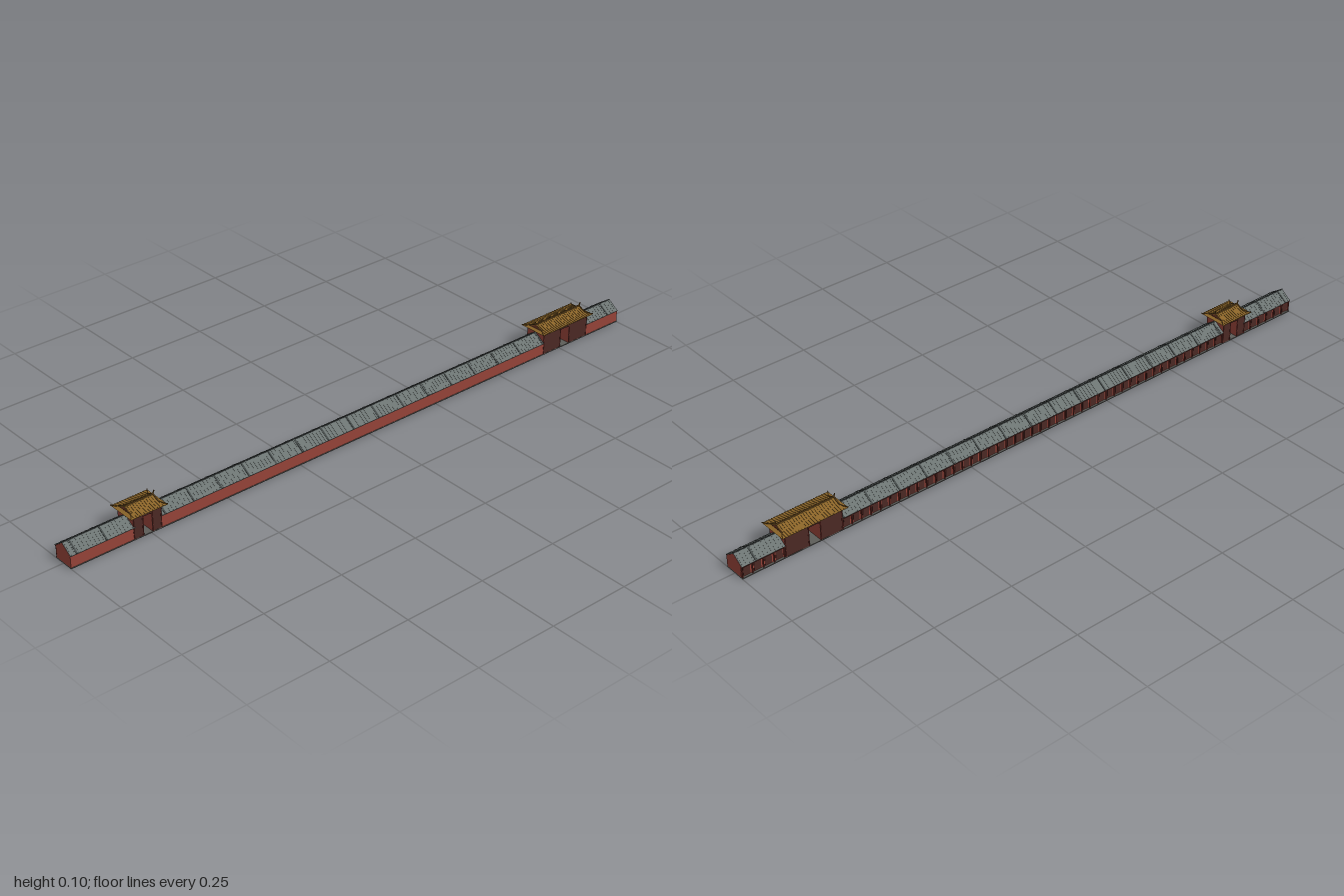
import * as THREE from 'three';
import { mergeGeometries } from 'three/addons/utils/BufferGeometryUtils.js';

const mat = (color, side = THREE.FrontSide) => new THREE.MeshStandardMaterial({ color, side, flatShading: true });
const RED = mat(0x934238), DARK = mat(0x4a2823), COLUMN = mat(0x642a25), STONE = mat(0x5d5d59);
const TILE = mat(0x6c7472), SEAM = mat(0x454b4a), TEAL = mat(0x3f6a66), GOLD = mat(0x8a6428, THREE.DoubleSide);
const GOLD_DARK = mat(0x6b4b1f), BROWN = mat(0x6b3426, THREE.DoubleSide);

// box geometry given by its limits
function box(x0, x1, y0, y1, z0, z1) {
  return new THREE.BoxGeometry(x1 - x0, y1 - y0, z1 - z0).translate((x0 + x1) / 2, (y0 + y1) / 2, (z0 + z1) / 2);
}

// bar between two points of a roof slope (in the z-y plane), w wide along x
function slopeBar(x, w, h, z0, y0, z1, y1) {
  const g = new THREE.BoxGeometry(w, h, Math.hypot(z1 - z0, y1 - y0));
  g.rotateX(-Math.atan2(y1 - y0, z1 - z0));
  return g.translate(x, (y0 + y1) / 2, (z0 + z1) / 2);
}

function add(group, name, geometries, material) {
  const mesh = new THREE.Mesh(mergeGeometries(geometries), material);
  mesh.name = name;
  group.add(mesh);
}

// one stretch of covered gallery: closed front, columned back
function gallery(x0, x1) {
  const g = new THREE.Group();
  g.name = 'gallery';
  const len = x1 - x0, mid = (x0 + x1) / 2;
  const section = new THREE.Shape([[-0.034, 0.003], [0.029, 0.003], [0.029, 0.038], [0.034, 0.038], [0, 0.062], [-0.034, 0.038]]
    .map(p => new THREE.Vector2(...p)));
  const body = new THREE.ExtrudeGeometry(section, { depth: len, bevelEnabled: false }).rotateY(Math.PI / 2).translate(x0, 0, 0);
  add(g, 'galleryWall', [body], RED);

  // columns, lintel and dark screens along the back
  const columns = [], screens = [];
  const bays = Math.max(2, Math.round(len / 0.031)), step = len / bays;
  for (let i = 0; i <= bays; i++) {
    const x = THREE.MathUtils.clamp(x0 + i * step, x0 + 0.002, x1 - 0.002);
    columns.push(new THREE.CylinderGeometry(0.002, 0.002, 0.035, 8).translate(x, 0.0205, -0.0315));
    if (i < bays) screens.push(box(x0 + (i + 0.18) * step, x0 + (i + 0.82) * step, 0.005, 0.031, -0.0302, -0.0285));
  }
  columns.push(box(x0, x1, 0.033, 0.038, -0.033, -0.029));
  add(g, 'backColumns', columns, COLUMN);
  add(g, 'backScreens', screens, DARK);
  add(g, 'frontCornice', [box(x0, x1, 0.037, 0.039, 0.033, 0.0352)], DARK);

  // tiled roof with ribs, ridge and cross seams
  const tiles = [], seams = [box(x0, x1, 0.0625, 0.065, -0.0012, 0.0012)];
  for (const s of [1, -1]) {
    tiles.push(slopeBar(mid, len, 0.0016, s * 0.036, 0.0385, 0, 0.0632));
    const n = Math.round(len / 0.011);
    for (let i = 0; i < n; i++)
      tiles.push(slopeBar(x0 + (i + 0.5) * len / n, 0.004, 0.0012, s * 0.036, 0.0393, 0, 0.064));
  }
  for (let i = 0; i < 22; i++) {
    const x = -0.98 + i * 0.0922;
    if (x < x0 + 0.003 || x > x1 - 0.003) continue;
    for (const s of [1, -1]) seams.push(slopeBar(x, 0.005, 0.002, s * 0.036, 0.0396, 0, 0.0642));
  }
  add(g, 'galleryRoof', tiles, TILE);
  add(g, 'roofRidgeAndSeams', seams, SEAM);
  return g;
}

// curved half profile of the gate roof: [z, y]
const PROFILE = [[0.046, 0.0735], [0.036, 0.0745], [0.026, 0.0765], [0.013, 0.081], [0, 0.088]];

// gate roof: two concave slopes with short skirts below the gables
function gateRoof(half) {
  const g = new THREE.Group();
  g.name = 'gateRoof';
  const inset = [0, 0.006, 0.012, 0.012, 0.012];
  const row = [...PROFILE.map(([z, y], i) => [z, y, half - inset[i]]),
    ...PROFILE.slice(0, -1).map(([z, y], i) => [-z, y, half - inset[i]]).reverse()];
  const pos = [], idx = [];
  row.forEach(([z, y, x]) => pos.push(-x, y, z, x, y, z));
  for (let i = 0; i < row.length - 1; i++) {
    const a = i * 2;
    idx.push(a, a + 1, a + 3, a, a + 3, a + 2);
  }
  // end skirts join matching front and back rows
  for (let i = 0; i < 2; i++) {
    const f = i * 2, b = (row.length - 1 - i) * 2;
    idx.push(f + 1, b + 1, b - 1, f + 1, b - 1, f + 3, b, f, f + 2, b, f + 2, b - 2);
  }
  const skin = new THREE.BufferGeometry();
  skin.setAttribute('position', new THREE.Float32BufferAttribute(pos, 3));
  skin.setIndex(idx);
  skin.computeVertexNormals();
  add(g, 'roofSkin', [skin], GOLD);

  // gable boards and soffit
  const gable = new THREE.Shape([[0.026, 0.0765], [0.013, 0.081], [0, 0.088], [-0.013, 0.081], [-0.026, 0.0765]]
    .map(p => new THREE.Vector2(...p)));
  add(g, 'gables', [-1, 1].map(s => new THREE.ShapeGeometry(gable).rotateY(Math.PI / 2).translate(s * (half - 0.0122), 0, 0)), BROWN);
  add(g, 'soffit', [box(-half + 0.002, half - 0.002, 0.072, 0.0733, -0.0445, 0.0445)], BROWN);

  // tile ribs, ridges and upturned ornaments
  const ribs = [], ridges = [box(-half + 0.012, half - 0.012, 0.087, 0.0915, -0.0015, 0.0015)];
  const n = Math.round(half * 2 / 0.0085);
  for (const s of [1, -1]) {
    for (let i = 0; i < 4; i++) {
      const [z0, y0] = PROFILE[i], [z1, y1] = PROFILE[i + 1];
      for (let k = 0; k < n; k++) {
        const x = -half + (k + 0.5) * half * 2 / n;
        if (Math.abs(x) > half - inset[i + 1]) continue;
        ribs.push(slopeBar(x, 0.003, 0.0014, s * z0, y0 + 0.0004, s * z1, y1 + 0.0004));
      }
      if (i > 1) for (const e of [1, -1])
        ridges.push(slopeBar(e * (half - 0.0135), 0.003, 0.0026, s * z0, y0 + 0.001, s * z1, y1 + 0.001));
    }
    for (const e of [1, -1]) {
      const hip = new THREE.CatmullRomCurve3([
        new THREE.Vector3(e * (half - 0.013), 0.0775, s * 0.026),
        new THREE.Vector3(e * (half - 0.006), 0.0752, s * 0.036),
        new THREE.Vector3(e * half, 0.0752, s * 0.0465)]);
      ridges.push(new THREE.TubeGeometry(hip, 6, 0.0014, 6).toNonIndexed());
    }
    const horn = new THREE.CatmullRomCurve3([
      new THREE.Vector3(s * (half - 0.018), 0.089, 0),
      new THREE.Vector3(s * (half - 0.012), 0.093, 0),
      new THREE.Vector3(s * (half - 0.01), 0.1, 0)]);
    ridges.push(new THREE.TubeGeometry(horn, 6, 0.0018, 6).toNonIndexed());
  }
  add(g, 'tileRibs', ribs, GOLD);
  add(g, 'ridgesAndOrnaments', ridges.map(r => (r.index ? r.toNonIndexed() : r)), GOLD_DARK);
  return g;
}

// gatehouse with a passage right through it
function gate(name, x0, x1, d0, d1) {
  const g = new THREE.Group();
  g.name = name;
  const mid = (x0 + x1) / 2, half = (x1 - x0) / 2, a = x0 - mid, b = x1 - mid, p = d0 - mid, q = d1 - mid;
  add(g, 'gateWalls', [box(a, p, 0.003, 0.065, -0.033, 0.033), box(q, b, 0.003, 0.065, -0.033, 0.033),
    box(p, q, 0.06, 0.065, -0.033, 0.033)], RED);
  const panels = [], frames = [], beams = [];
  for (const s of [1, -1]) {
    const z0 = s > 0 ? 0.033 : -0.0345, z1 = z0 + 0.0015;
    panels.push(box(a, p, 0.003, 0.06, z0, z1), box(q, b, 0.003, 0.06, z0, z1), box(a, b, 0.06, 0.065, z0, z1));
    for (const x of [a + 0.002, p - 0.002, q + 0.002, b - 0.002])
      frames.push(new THREE.CylinderGeometry(0.002, 0.002, 0.062, 8).translate(x, 0.034, s * 0.0335));
    // painted beam and bracket sets under the eaves
    beams.push(box(a, b, 0.065, 0.0685, s * 0.0335 - 0.0015, s * 0.0335 + 0.0015));
    const n = Math.round(half * 2 / 0.014);
    for (let i = 0; i <= n; i++)
      beams.push(box(a + 0.002 + i * (half * 2 - 0.004) / n - 0.002, a + 0.002 + i * (half * 2 - 0.004) / n + 0.002,
        0.0685, 0.072, s * 0.034 - 0.002, s * 0.034 + 0.002));
  }
  add(g, 'gatePanels', panels, DARK);
  add(g, 'gateColumns', frames, COLUMN);
  add(g, 'eaveBeams', beams, TEAL);
  g.add(gateRoof(half + 0.013));
  g.position.x = mid;
  return g;
}

export function createModel() {
  const model = new THREE.Group();
  model.name = 'galleryWithGates';
  add(model, 'base', [box(-1, 1, 0, 0.003, -0.035, 0.035)], STONE);
  for (const [x0, x1] of [[-1, -0.8], [-0.715, 0.683], [0.866, 1]]) model.add(gallery(x0, x1));
  model.add(gate('smallGate', -0.805, -0.715, -0.773, -0.746));
  model.add(gate('largeGate', 0.683, 0.866, 0.755, 0.79));
  return model;
}
